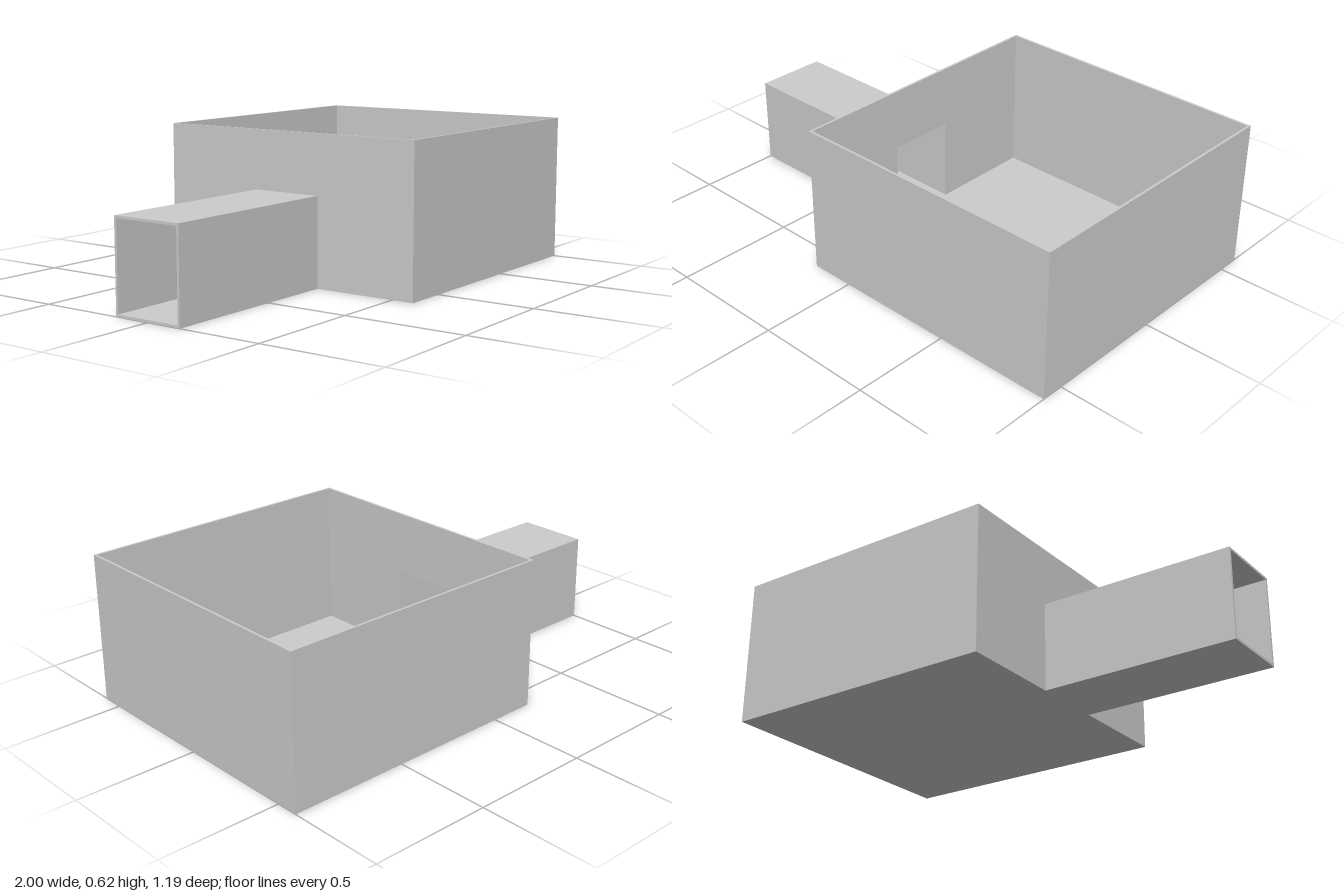
import * as THREE from 'three';

const T = 0.01;                                  // sheet thickness
const BOX = { x0: -0.187, x1: 1, h: 0.615, z: 0.593 };
const DUCT = { x0: -1, h: 0.37, z: 0.152 };

export function createModel() {
  const group = new THREE.Group();
  const material = new THREE.MeshStandardMaterial({ color: 0xcccccc, flatShading: true });

  const add = (name, geometry) => {
    const mesh = new THREE.Mesh(geometry, material);
    mesh.name = name;
    group.add(mesh);
    return mesh;
  };
  // Panel given by its minimum and maximum corners
  const panel = (name, x0, x1, y0, y1, z0, z1) =>
    add(name, new THREE.BoxGeometry(x1 - x0, y1 - y0, z1 - z0))
      .position.set((x0 + x1) / 2, (y0 + y1) / 2, (z0 + z1) / 2);

  // Open-topped box: floor, front and back walls, far end wall
  panel('boxFloor', BOX.x0 + T, BOX.x1 - T, 0, T, -BOX.z + T, BOX.z - T);
  panel('frontWall', BOX.x0 + T, BOX.x1, 0, BOX.h, BOX.z - T, BOX.z);
  panel('backWall', BOX.x0 + T, BOX.x1, 0, BOX.h, -BOX.z, -BOX.z + T);
  panel('endWall', BOX.x1 - T, BOX.x1, 0, BOX.h, -BOX.z + T, BOX.z - T);

  // Wall with the doorway into the duct, drawn in the z-y plane
  const wall = new THREE.Shape();
  wall.moveTo(-BOX.z, 0).lineTo(BOX.z, 0).lineTo(BOX.z, BOX.h).lineTo(-BOX.z, BOX.h).closePath();
  const hw = DUCT.z - T;
  const door = new THREE.Path();
  door.moveTo(-hw, T).lineTo(-hw, DUCT.h - T).lineTo(hw, DUCT.h - T).lineTo(hw, T).closePath();
  wall.holes.push(door);
  const doorWall = add('doorwayWall', new THREE.ExtrudeGeometry(wall, { depth: T, bevelEnabled: false }));
  doorWall.rotation.y = Math.PI / 2;
  doorWall.position.x = BOX.x0;

  // Rectangular duct, open at both ends
  panel('ductFloor', DUCT.x0, BOX.x0, 0, T, -hw, hw);
  panel('ductRoof', DUCT.x0, BOX.x0, DUCT.h - T, DUCT.h, -hw, hw);
  panel('ductFrontSide', DUCT.x0, BOX.x0, 0, DUCT.h, hw, DUCT.z);
  panel('ductBackSide', DUCT.x0, BOX.x0, 0, DUCT.h, -DUCT.z, -hw);

  return group;
}
